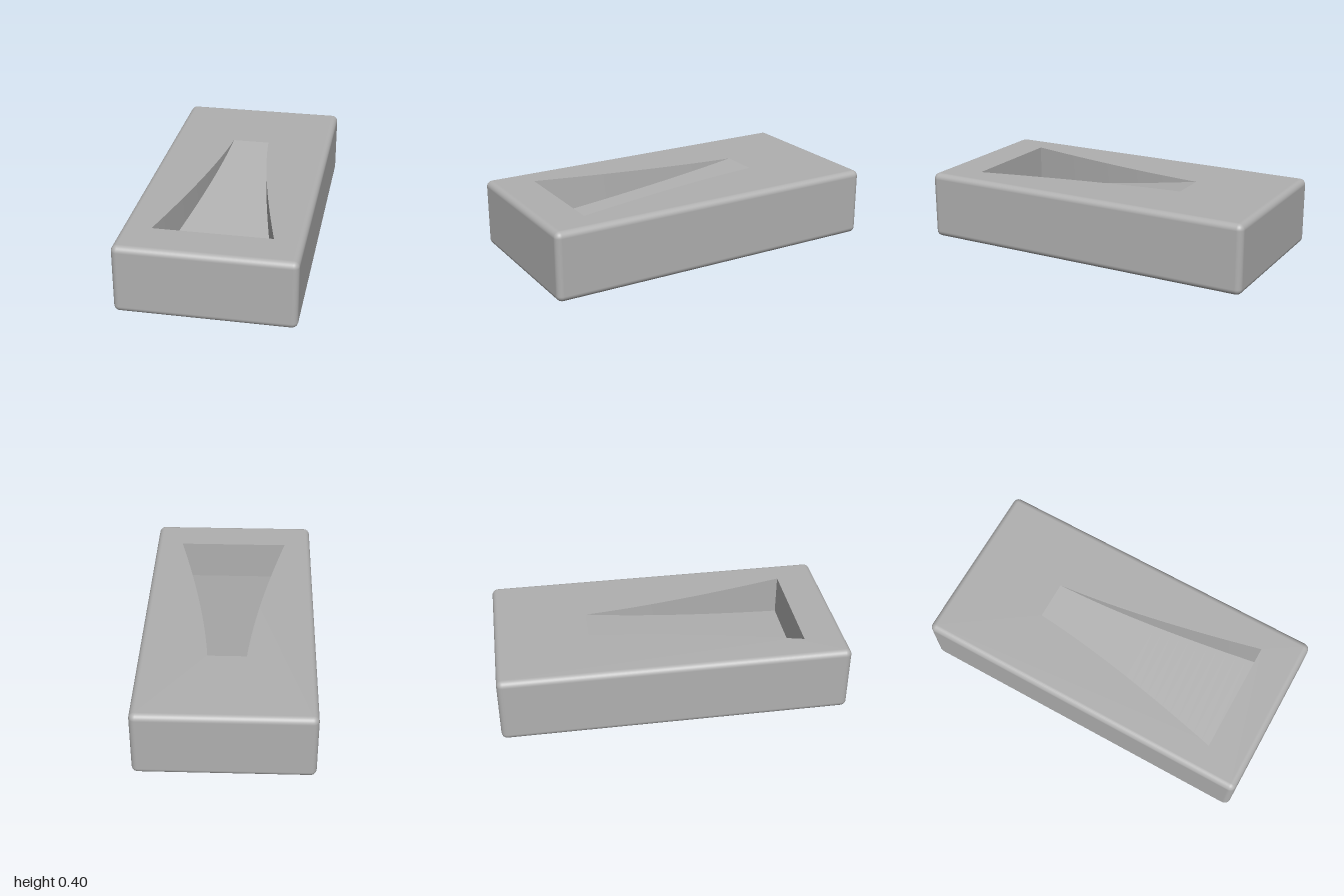
import * as THREE from 'three';
import { RoundedBoxGeometry } from 'three/addons/geometries/RoundedBoxGeometry.js';

const W = 0.99, H = 0.396, L = 2, R = 0.035; // block size and edge radius
const Z0 = -0.46, Z1 = 0.76, DEPTH = 0.24;   // recess start, end and depth

// Ribbon between two polylines of equal length
function strip(a, b) {
  const index = [];
  const n = a.length;
  for (let i = 0; i < n - 1; i++) {
    index.push(i, i + 1, n + i, i + 1, n + i + 1, n + i);
  }
  const g = new THREE.BufferGeometry().setFromPoints([...a, ...b]);
  g.setIndex(index);
  g.computeVertexNormals();
  return g;
}

// Rounded block with its flat top panel removed
function openBlock() {
  const box = new RoundedBoxGeometry(W, H, L, 4, R);
  box.translate(0, H / 2, 0);
  const src = box.index ? box.toNonIndexed() : box;
  const p = src.attributes.position, n = src.attributes.normal;
  const pos = [], nor = [];
  for (let i = 0; i < p.count; i += 3) {
    if ([0, 1, 2].every((k) => p.getY(i + k) > H - 1e-5)) continue;
    for (let k = i; k < i + 3; k++) {
      pos.push(p.getX(k), p.getY(k), p.getZ(k));
      nor.push(n.getX(k), n.getY(k), n.getZ(k));
    }
  }
  const g = new THREE.BufferGeometry();
  g.setAttribute('position', new THREE.Float32BufferAttribute(pos, 3));
  g.setAttribute('normal', new THREE.Float32BufferAttribute(nor, 3));
  return g;
}

export function createModel() {
  const group = new THREE.Group();
  group.name = 'ductBlock';
  const grey = new THREE.MeshStandardMaterial({ color: 0xb0b0b0 });
  grey.name = 'grey';
  const add = (name, geometry) => {
    const mesh = new THREE.Mesh(geometry, grey);
    mesh.name = name;
    group.add(mesh);
  };

  // Flaring side of the recess: x is the half width, y is z
  const flare = new THREE.QuadraticBezierCurve(
    new THREE.Vector2(0.11, Z0), new THREE.Vector2(0.15, 0.02), new THREE.Vector2(0.33, Z1),
  ).getPoints(24);
  const edge = (side, sunk) => flare.map(({ x, y: z }) =>
    new THREE.Vector3(side * x, H - (sunk ? DEPTH * (z - Z0) / (Z1 - Z0) : 0), z));
  const topL = edge(1, false), topR = edge(-1, false);
  const lowL = edge(1, true), lowR = edge(-1, true);
  const end = flare.length - 1;

  add('block', openBlock());

  // Top panel with the recess cut out
  const x = W / 2 - R, z = L / 2 - R;
  const panel = new THREE.Shape([[-x, -z], [x, -z], [x, z], [-x, z]].map((c) => new THREE.Vector2(...c)));
  panel.holes.push(new THREE.Path(
    [...topL, ...topR.slice().reverse()].map((v) => new THREE.Vector2(v.x, -v.z)),
  ));
  const top = new THREE.ShapeGeometry(panel);
  top.rotateX(-Math.PI / 2).translate(0, H, 0);
  add('topPanel', top);

  // Sloping floor and upright walls of the recess
  add('recessRamp', strip(lowR, lowL));
  add('recessLeftWall', strip(lowL, topL));
  add('recessRightWall', strip(topR, lowR));
  add('recessEndWall', strip([topR[end], topL[end]], [lowR[end], lowL[end]]));

  return group;
}
